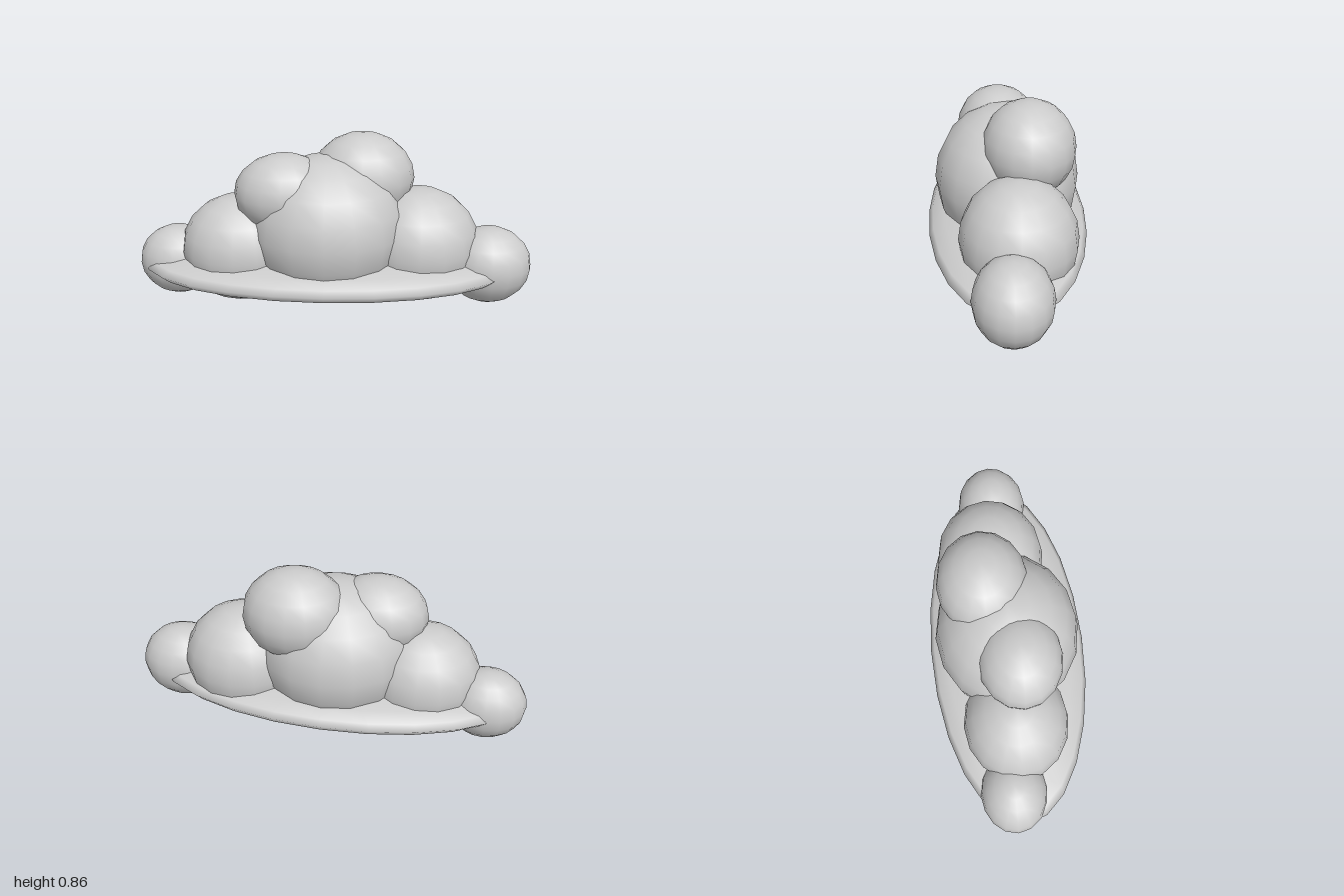
import * as THREE from 'three';

export function createModel() {
  const cloud = new THREE.Group();
  cloud.name = 'cloud';
  const cloudGrey = new THREE.MeshStandardMaterial({ color: 0xcccccc });
  cloudGrey.name = 'cloud grey';

  // Shared unit spheres, stretched into each ellipsoid
  const puffShape = new THREE.SphereGeometry(1, 16, 10);
  const baseShape = new THREE.SphereGeometry(1, 24, 10);

  function addEllipsoid(name, shape, position, radii) {
    const mesh = new THREE.Mesh(shape, cloudGrey);
    mesh.name = name;
    mesh.position.set(...position);
    mesh.scale.set(...radii);
    cloud.add(mesh);
  }

  // Wide flattened underside
  addEllipsoid('flatBase', baseShape, [-0.03, 0.19, 0], [0.93, 0.1, 0.4]);

  // Overlapping puffs: name, centre, radii
  const puffs = [
    ['centrePuff', [-0.03, 0.395, 0], [0.4, 0.375, 0.36]],
    ['rightMiddlePuff', [-0.47, 0.285, 0], [0.295, 0.275, 0.262]],
    ['leftMiddlePuff', [0.43, 0.3, -0.04], [0.307, 0.295, 0.28]],
    ['rightEndPuff', [-0.8, 0.193, -0.045], [0.2, 0.182, 0.166]],
    ['leftEndPuff', [0.785, 0.208, 0], [0.215, 0.198, 0.183]],
    ['rightTopPuff', [-0.235, 0.585, 0.04], [0.25, 0.2, 0.206]],
    ['leftTopPuff', [0.145, 0.63, -0.1], [0.26, 0.23, 0.226]],
  ];
  for (const [name, centre, radii] of puffs) addEllipsoid(name, puffShape, centre, radii);

  return cloud;
}
